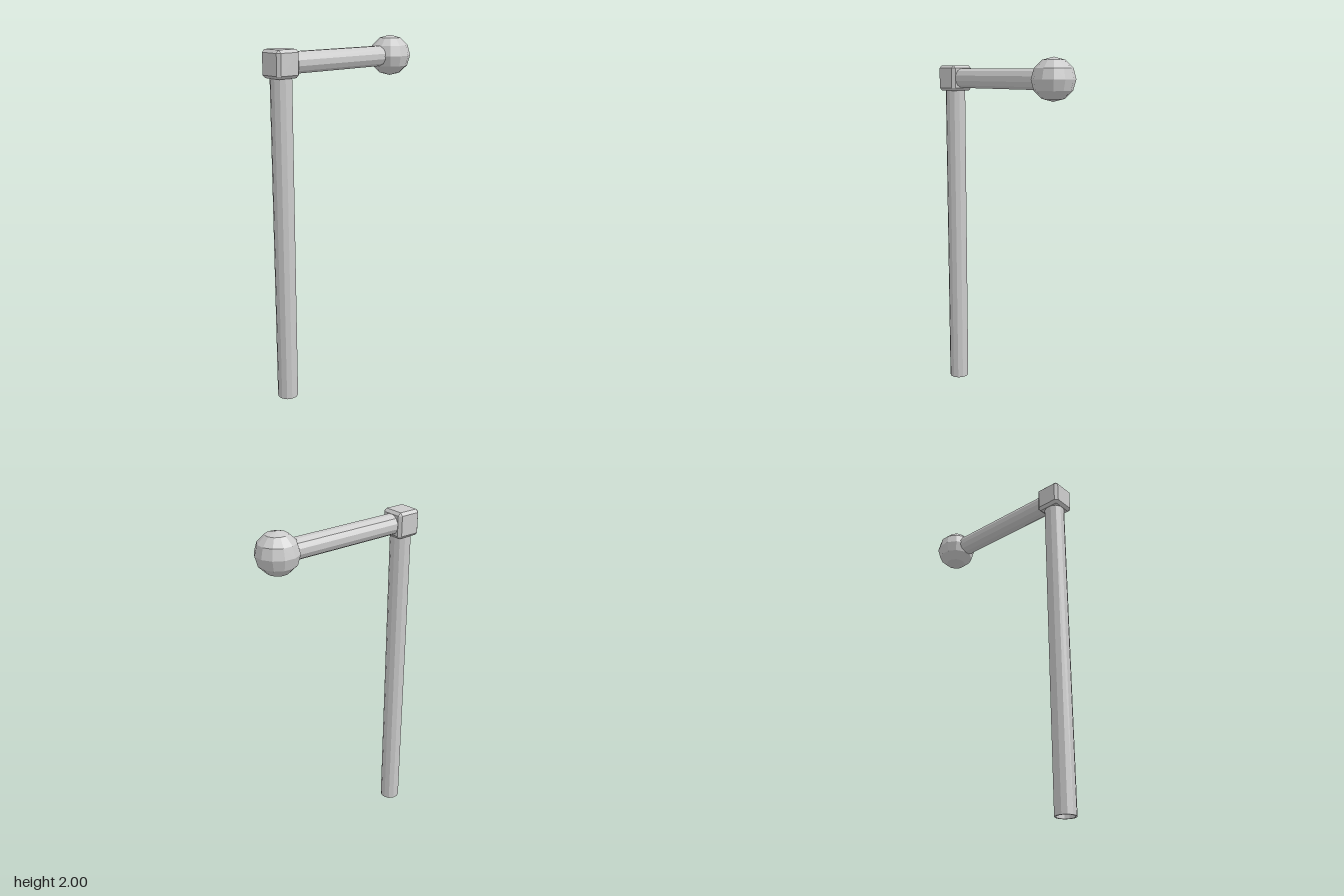
import * as THREE from 'three';
import { ConvexGeometry } from 'three/addons/geometries/ConvexGeometry.js';

const SIDES = 12;
const AXIS_Y = 1.886; // height of the arm, joint and ball
const POST_Z = 0.431;
const BALL_Z = -0.387;

const material = new THREE.MeshStandardMaterial({ color: 0xcccccc, flatShading: true });

function addPart(group, name, geometry, x, y, z) {
  const mesh = new THREE.Mesh(geometry, material);
  mesh.name = name;
  mesh.position.set(x, y, z);
  group.add(mesh);
  return mesh;
}

// Hollow faceted pipe standing on its origin, flats facing the axes
function pipe(length, outer = 0.058, inner = 0.049) {
  const profile = [[inner, 0], [outer, 0], [outer, length], [inner, length], [inner, 0]];
  return new THREE.LatheGeometry(
    profile.map(([r, y]) => new THREE.Vector2(r, y)), SIDES, Math.PI / SIDES);
}

// Cube with every edge and corner cut off
function chamferedCube(half, cut) {
  const points = [];
  const inset = half - cut;
  for (const sx of [-1, 1]) for (const sy of [-1, 1]) for (const sz of [-1, 1]) {
    points.push(
      new THREE.Vector3(sx * half, sy * inset, sz * inset),
      new THREE.Vector3(sx * inset, sy * half, sz * inset),
      new THREE.Vector3(sx * inset, sy * inset, sz * half));
  }
  return new ConvexGeometry(points);
}

export function createModel() {
  const group = new THREE.Group();
  group.name = 'postWithBallArm';

  // Upright, open at the foot
  addPart(group, 'post', pipe(AXIS_Y - 0.05), 0, 0, POST_Z);

  // Horizontal arm running back from the joint
  const arm = addPart(group, 'arm', pipe(POST_Z - BALL_Z - 0.05), 0, AXIS_Y, POST_Z - 0.05);
  arm.rotation.x = -Math.PI / 2;

  // Corner block joining post and arm
  addPart(group, 'cornerJoint', chamferedCube(0.073, 0.016), 0, AXIS_Y, POST_Z);

  // Faceted ball at the end of the arm
  const ball = new THREE.SphereGeometry(0.118, SIDES, 6);
  ball.rotateY(Math.PI / SIDES);
  ball.scale(1, 0.97, 1);
  addPart(group, 'ball', ball, 0, AXIS_Y, BALL_Z);

  return group;
}
